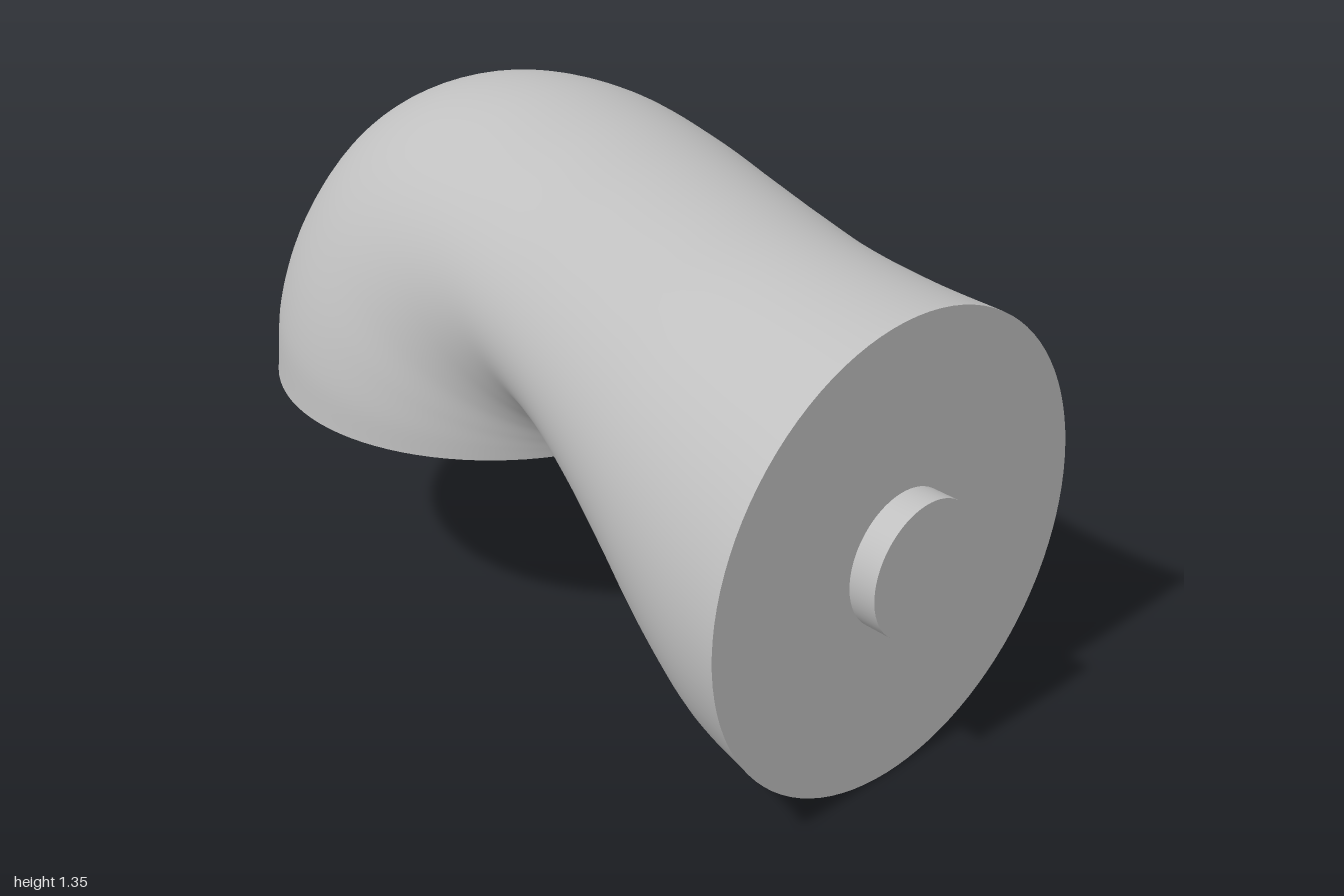
import * as THREE from 'three';

// Stations along the bend: outer rail (z, y), inner rail (z, y), half width
const STATIONS = [
  [0.93, 1.149, 0.93, 0.001, 0.574],
  [0.75, 1.163, 0.75, 0.035, 0.54],
  [0.55, 1.19, 0.6, 0.14, 0.505],
  [0.38, 1.23, 0.48, 0.275, 0.48],
  [0.2, 1.275, 0.38, 0.405, 0.463],
  [0, 1.32, 0.29, 0.525, 0.456],
  [-0.25, 1.35, 0.225, 0.597, 0.46],
  [-0.5, 1.315, 0.19, 0.61, 0.48],
  [-0.72, 1.2, 0.17, 0.605, 0.51],
  [-0.88, 1.01, 0.157, 0.596, 0.545],
  [-0.97, 0.8, 0.15, 0.587, 0.567],
  [-1, 0.577, 0.146, 0.577, 0.573],
];
const RINGS = 88, SIDES = 96;
const PEG_R = 0.165, PEG_H = 0.07, END_Y = 0.577, END_Z = -0.427;

// Smooth loft of elliptical sections spanning the two rails
function bentBody() {
  const rail = (f) => new THREE.CatmullRomCurve3(STATIONS.map(f), false, 'catmullrom', 0.5);
  const outer = rail((s) => new THREE.Vector3(s[4], s[1], s[0]));
  const inner = rail((s) => new THREE.Vector3(s[4], s[3], s[2]));
  const pos = [], index = [];
  for (let i = 0; i <= RINGS; i++) {
    const o = outer.getPoint(i / RINGS), n = inner.getPoint(i / RINGS);
    for (let j = 0; j < SIDES; j++) {
      const a = (j / SIDES) * Math.PI * 2, k = (1 + Math.cos(a)) / 2;
      pos.push(o.x * Math.sin(a), n.y + (o.y - n.y) * k, n.z + (o.z - n.z) * k);
      if (i === RINGS) continue;
      const j2 = (j + 1) % SIDES, r = i * SIDES, r2 = r + SIDES;
      index.push(r + j, r + j2, r2 + j, r + j2, r2 + j2, r2 + j);
    }
  }
  const g = new THREE.BufferGeometry();
  g.setAttribute('position', new THREE.Float32BufferAttribute(pos, 3));
  g.setIndex(index);
  g.computeVertexNormals();
  return g;
}

export function createModel() {
  const group = new THREE.Group();
  const grey = new THREE.MeshStandardMaterial({ color: 0xc0c0c0, side: THREE.DoubleSide });
  grey.name = 'light grey';
  const add = (name, geometry, x, y, z, rx = 0) => {
    const m = new THREE.Mesh(geometry, grey);
    m.name = name;
    m.position.set(x, y, z);
    m.rotation.x = rx;
    group.add(m);
  };

  add('bentBody', bentBody(), 0, 0, 0);

  // Front end: flat disc with a round peg
  add('frontFace', new THREE.CircleGeometry(0.574, SIDES), 0, 0.575, 0.93);
  add('peg', new THREE.CylinderGeometry(PEG_R, PEG_R, PEG_H, 64), 0, 0.575, 0.93 + PEG_H / 2, Math.PI / 2);

  // Lower end: flat ring around a matching blind socket
  add('lowerFace', new THREE.RingGeometry(PEG_R, 0.573, SIDES), 0, END_Y, END_Z, Math.PI / 2);
  add('socketWall', new THREE.CylinderGeometry(PEG_R, PEG_R, PEG_H, SIDES, 1, true), 0, END_Y + PEG_H / 2, END_Z);
  add('socketFloor', new THREE.CircleGeometry(PEG_R, SIDES), 0, END_Y + PEG_H, END_Z, Math.PI / 2);

  return group;
}
